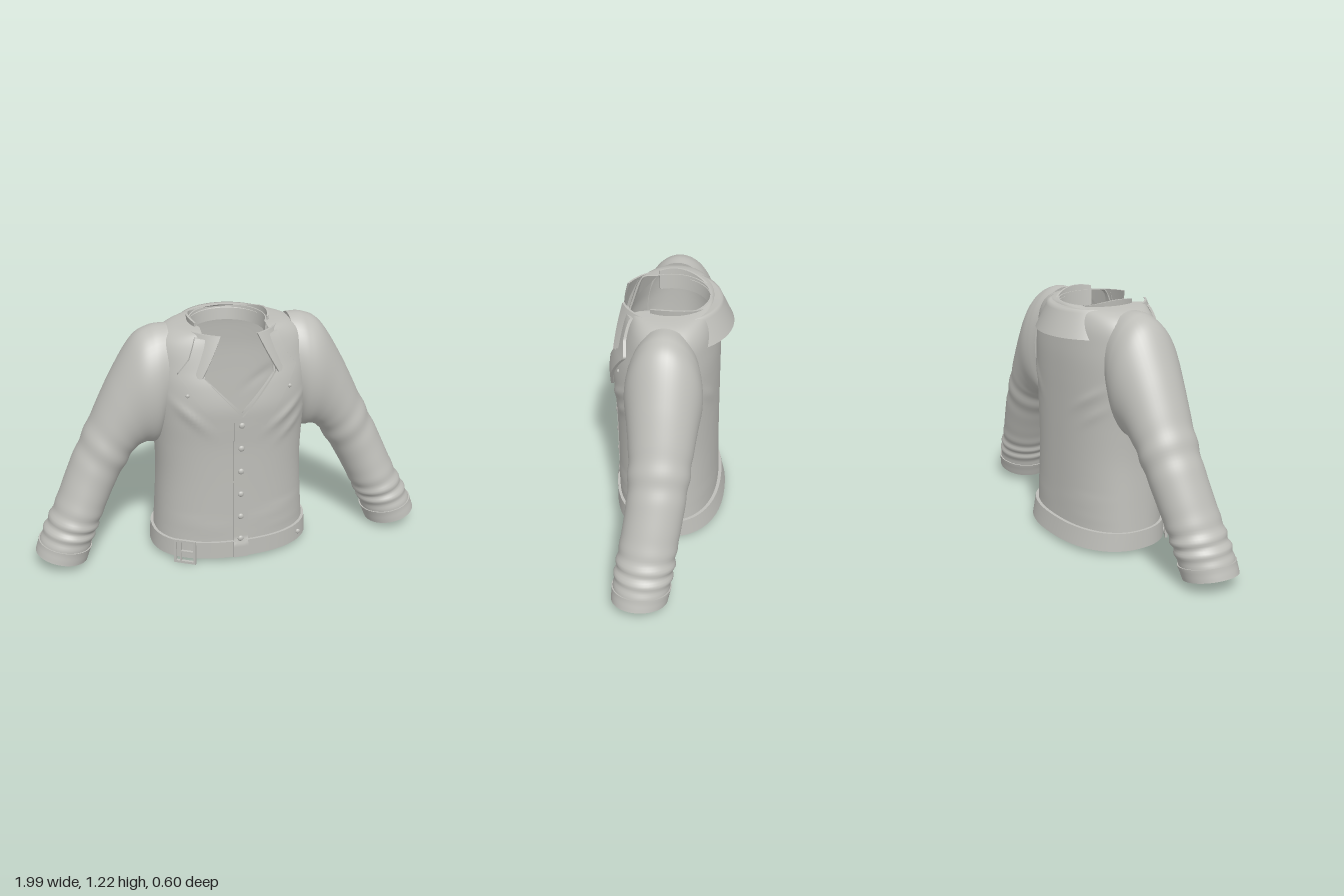
import * as THREE from 'three';
import { mergeGeometries } from 'three/addons/utils/BufferGeometryUtils.js';

const cloth = new THREE.MeshStandardMaterial({ color: 0xbebeb9, side: THREE.DoubleSide });
cloth.name = 'warm grey cloth';

const { lerp, clamp, degToRad } = THREE.MathUtils;

// Smooth interpolation through rows of numbers, t counted in rows
function sample(rows, t) {
  const n = rows.length - 1, i = clamp(Math.floor(t), 0, n - 1), f = t - i;
  const p = k => rows[clamp(k, 0, n)];
  return rows[i].map((_, c) => {
    const a = p(i - 1)[c], b = p(i)[c], d = p(i + 1)[c], e = p(i + 2)[c];
    return b + 0.5 * f * (d - a + f * (2 * a - 5 * b + 4 * d - e + f * (3 * (b - d) + e - a)));
  });
}

// Straight interpolation along a polyline, v in 0..1
function along(points, v) {
  const s = v * (points.length - 1), i = Math.min(Math.floor(s), points.length - 2);
  return points[i].map((a, c) => lerp(a, points[i + 1][c], s - i));
}

// Grid surface from fn(u, v) => [x, y, z]
function sheet(fn, nu, nv, closed = false) {
  const pos = [], idx = [], cols = closed ? nu : nu + 1;
  for (let j = 0; j <= nv; j++)
    for (let i = 0; i < cols; i++) pos.push(...fn(i / nu, j / nv));
  for (let j = 0; j < nv; j++)
    for (let i = 0; i < nu; i++) {
      const a = j * cols + i, b = j * cols + (i + 1) % cols;
      idx.push(a, b, b + cols, a, b + cols, a + cols);
    }
  const g = new THREE.BufferGeometry();
  g.setAttribute('position', new THREE.Float32BufferAttribute(pos, 3));
  g.setIndex(idx);
  g.computeVertexNormals();
  return g;
}

// Thick cloth panel from fn(u, v, t): t = 0 outside, t = 1 lining
function panel(fn, nu, nv, closed = false) {
  const parts = [
    sheet((u, v) => fn(u, v, 0), nu, nv, closed),
    sheet((u, v) => fn(1 - u, v, 1), nu, nv, closed),
    sheet((u, t) => fn(1 - u, 0, t), nu, 1, closed),
    sheet((u, t) => fn(u, 1, t), nu, 1, closed),
  ];
  if (!closed) parts.push(
    sheet((t, v) => fn(0, v, 1 - t), 1, nv),
    sheet((t, v) => fn(1, v, t), 1, nv));
  return mergeGeometries(parts);
}

// Torso rings: height, half width, front z, back z, roundness exponent
const TORSO = [
  [0.07, 0.388, 0.262, -0.245, 2.3], [0.25, 0.376, 0.262, -0.24, 2.3],
  [0.45, 0.366, 0.264, -0.238, 2.3], [0.62, 0.372, 0.268, -0.238, 2.3],
  [0.75, 0.383, 0.277, -0.238, 2.3], [0.85, 0.39, 0.28, -0.238, 2.3],
  [0.95, 0.392, 0.262, -0.236, 2.3], [1.03, 0.39, 0.236, -0.23, 2.25],
  [1.1, 0.38, 0.215, -0.222, 2.2], [1.15, 0.35, 0.203, -0.212, 2.1],
  [1.185, 0.285, 0.195, -0.202, 2.05], [1.197, 0.192, 0.188, -0.192, 2],
];

function torsoAt(y) {
  let lo = 0, hi = TORSO.length - 1;
  for (let k = 0; k < 22; k++) {
    const m = (lo + hi) / 2;
    if (sample(TORSO, m)[0] < y) lo = m; else hi = m;
  }
  return sample(TORSO, lo);
}

function ringPoint([y, w, zf, zb, n], a, inset = 0) {
  const s = Math.sin(a), c = Math.cos(a);
  return [
    Math.sign(s) * Math.abs(s) ** (2 / n) * (w - inset), y,
    (c > 0 ? zf - inset : -zb - inset) * Math.sign(c) * Math.abs(c) ** (2 / n)];
}

function frontZ(x, y) {
  const [, w, zf, , n] = torsoAt(y);
  return zf * Math.max(0, 1 - Math.min(1, Math.abs(x) / w) ** n) ** (1 / n);
}

// Soft folds: x, y, direction, half length, width, height
const FOLDS = [
  [0.24, 0.78, 0.6, 0.1, 0.022, 0.012], [0.27, 0.70, 0.65, 0.08, 0.02, 0.009],
  [-0.24, 0.80, -0.75, 0.1, 0.022, 0.012], [0.2, 0.24, 0.1, 0.14, 0.018, 0.007],
  [0.22, 0.17, 0.05, 0.14, 0.018, 0.006], [-0.2, 0.2, -0.1, 0.12, 0.018, 0.005],
];
function foldHeight(x, y) {
  return FOLDS.reduce((sum, [fx, fy, a, len, wid, h]) => {
    const dx = x - fx, dy = y - fy;
    const p = (dx * Math.cos(a) + dy * Math.sin(a)) / len;
    const q = (dy * Math.cos(a) - dx * Math.sin(a)) / wid;
    return sum + h * Math.exp(-p * p - q * q);
  }, 0);
}

// Sleeve sections: outer x, y, inner x, y, centre z, half depth
const SLEEVE = [
  [0.30, 1.195, 0.345, 0.66, -0.003, 0.165], [0.38, 1.19, 0.36, 0.61, -0.003, 0.18],
  [0.47, 1.135, 0.38, 0.595, -0.005, 0.182], [0.58, 0.955, 0.42, 0.598, -0.008, 0.165],
  [0.69, 0.73, 0.475, 0.565, -0.008, 0.148], [0.79, 0.53, 0.57, 0.415, 0.003, 0.138],
  [0.885, 0.315, 0.655, 0.245, 0.03, 0.137], [0.955, 0.18, 0.705, 0.135, 0.047, 0.137],
  [0.992, 0.08, 0.75, 0.022, 0.06, 0.128],
];
const bell = (t, c, w) => Math.exp(-(((t - c) / w) ** 2));

function sleevePoint(side, u, t, scale) {
  const [ox, oy, ix, iy, zc, hz] = sample(SLEEVE, t), a = u * Math.PI * 2;
  const ripple = 0.045 * bell(t, 6.6, 0.6) * Math.sin(t * 13 + 0.9 * Math.sin(a + 0.6))
    + 0.03 * bell(t, 4.4, 0.45) * Math.sin(t * 9 + 1.2 * Math.cos(a));
  const r = scale * (1 + ripple), c = Math.cos(a) * r / 2;
  return [side * ((ox + ix) / 2 + c * (ox - ix)), (oy + iy) / 2 + c * (oy - iy), zc + Math.sin(a) * hz * r];
}

// Point on the flared collar, angle in degrees from the front
function collarPoint(deg, r, y) {
  const a = degToRad(deg);
  return [r * Math.sin(a), y, r * Math.cos(a)];
}

export function createModel() {
  const jacket = new THREE.Group();
  jacket.name = 'jacket';
  const add = (name, geometry, parent = jacket) => {
    const m = new THREE.Mesh(geometry, cloth);
    m.name = name;
    parent.add(m);
    return m;
  };

  // Torso shell, open in a V at the chest
  add('torso', panel((u, v, t) => {
    const ring = sample(TORSO, v * (TORSO.length - 1));
    const gap = clamp(ring[0] - 0.82, 0, 0.168);
    const a0 = Math.asin(Math.min(1, gap / ring[1]) ** (ring[4] / 2));
    const p = ringPoint(ring, lerp(a0, Math.PI * 2 - a0, u), 0.01 * t);
    if (p[2] > 0) p[2] += foldHeight(p[0], p[1]);
    else p[2] -= 0.6 * foldHeight(-p[0], p[1]);
    return p;
  }, 112, 66));

  // Waistband
  add('waistband', panel((u, v, t) => ringPoint(
    [lerp(0.022, 0.112, v), lerp(0.405, 0.399, v), 0.275, lerp(-0.28, -0.26, v), 2.3],
    u * Math.PI * 2, 0.018 * t), 96, 2, true));

  // Button placket
  add('placket', panel((u, v, t) => {
    const x = lerp(-0.038, 0.036, u), y = lerp(0.022, 0.8, v);
    return [x, y, (y < 0.115 ? 0.281 : frontZ(x, y) + 0.009) - 0.012 * t];
  }, 4, 40));

  // Buttons
  const button = (name, x, y, z, r) => {
    const b = add(name, new THREE.SphereGeometry(r, 16, 10));
    b.scale.z = 0.6;
    b.position.set(x, y, z);
  };
  for (let i = 0; i < 6; i++) {
    const y = 0.755 - i * 0.126;
    button('frontButton', -0.002, y, frontZ(0, y) + 0.011, 0.015);
  }
  button('waistbandButton', 0.325, 0.067, 0.188, 0.013);
  for (const s of [1, -1]) button('chestButton', s * 0.25, 0.91, frontZ(0.25, 0.91) + 0.003, 0.01);

  for (const s of [1, -1]) {
    const side = s > 0 ? 'left' : 'right';

    // Sleeve and cuff
    add(side + 'Sleeve', panel((u, v, t) => sleevePoint(s, u, v * 7.97, 1 - 0.06 * t), 48, 96, true));
    add(side + 'Cuff', panel((u, v, t) => sleevePoint(s, u, lerp(7.35, 8, v), 1.045 - 0.13 * t), 48, 8, true));

    // Lapel lying on the chest
    const inner = [[0, 0.80], [0.088, 0.90], [0.176, 1.0], [0.166, 1.08], [0.155, 1.17]];
    const outer = [[0.115, 0.74], [0.2025, 0.875], [0.29, 1.01], [0.235, 1.08], [0.2, 1.175]];
    add(side + 'Lapel', panel((u, v, t) => {
      const a = along(inner, v), b = along(outer, v);
      const x = lerp(a[0], b[0], u), y = lerp(a[1], b[1], u);
      return [s * x, y, frontZ(x, y) + 0.017 - 0.014 * t];
    }, 12, 32));

    // Pointed front collar leaf
    add(side + 'CollarLeaf', panel((u, v, t) => collarPoint(
      s * lerp(lerp(22, 36, v), lerp(73, 40, v), u),
      lerp(0.24, 0.318, v) - 0.01 * t, lerp(1.19, 1.0, v)), 16, 10));
  }

  // Collar stand around the neck, highest at the sides
  add('collarStand', panel((u, v, t) => {
    const deg = lerp(66, 294, u);
    const top = 1.188 + 0.037 * Math.abs(Math.sin(degToRad(deg))) ** 3;
    return collarPoint(deg, lerp(0.19, 0.2, v) - 0.01 * t, lerp(1.12, top, v));
  }, 64, 4));

  // Turned-down back collar
  const fold = [[0.195, 1.187, 113], [0.24, 1.19, 114], [0.27, 1.125, 120], [0.3, 1.06, 127]];
  add('backCollar', panel((u, v, t) => {
    const [r, y, end] = along(fold, v);
    return collarPoint(lerp(end, 360 - end, u), r - 0.01 * t, y - 0.008 * t * (1 - v));
  }, 48, 12));

  // Belt buckle with a prong
  const buckle = new THREE.Group();
  buckle.name = 'buckle';
  buckle.position.set(-0.275, 0.065, 0.228);
  buckle.rotation.y = -0.51;
  const bar = (name, w, h, x, y) =>
    add(name, new THREE.BoxGeometry(w, h, 0.014), buckle).position.set(x, y, 0.004);
  for (const s of [1, -1]) {
    bar('buckleSide', 0.012, 0.126, s * 0.05, 0);
    bar('buckleRail', 0.112, 0.012, 0, s * 0.059);
  }
  bar('buckleBar', 0.008, 0.118, -0.022, 0);
  bar('buckleProng', 0.065, 0.009, 0.012, 0);
  jacket.add(buckle);

  return jacket;
}
